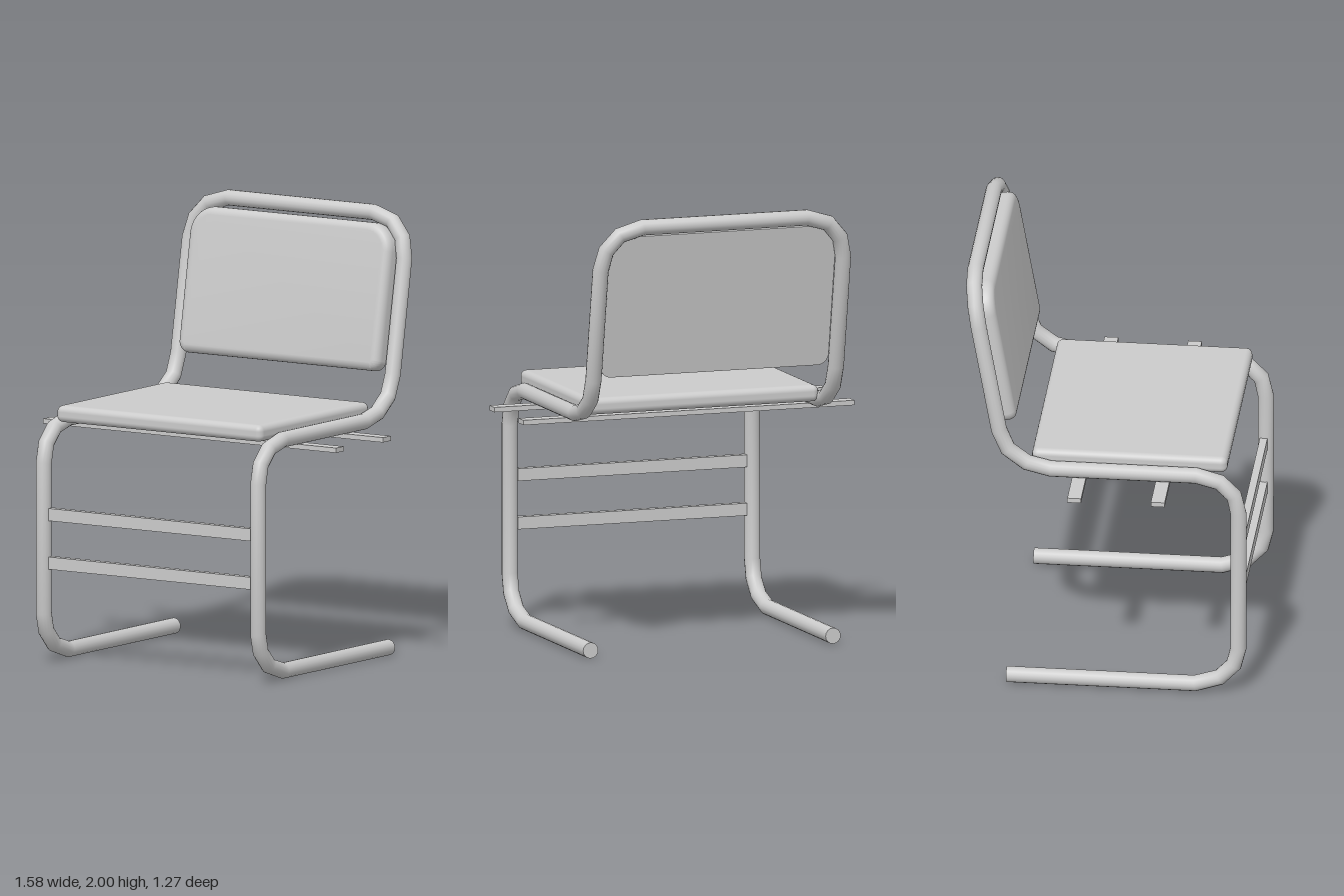
import * as THREE from 'three';
import { RoundedBoxGeometry } from 'three/addons/geometries/RoundedBoxGeometry.js';
import { toCreasedNormals } from 'three/addons/utils/BufferGeometryUtils.js';

const R = 0.036;      // tube radius
const HALF = 0.577;   // tube centre line in x
const TILT = 0.176;   // backrest lean

// Straight runs with mitred corners: one tube ring per point
class Polyline extends THREE.Curve {
  constructor(points) { super(); this.points = points; }
  getPointAt(u, target = new THREE.Vector3()) {
    return target.copy(this.points[Math.round(u * (this.points.length - 1))]);
  }
  getTangentAt(u, target = new THREE.Vector3()) {
    const p = this.points, i = Math.round(u * (p.length - 1));
    const a = p[Math.max(i - 1, 0)], b = p[i], c = p[Math.min(i + 1, p.length - 1)];
    const d1 = b.clone().sub(a).normalize(), d2 = c.clone().sub(b).normalize();
    return target.copy(d1.add(d2)).normalize();
  }
}

export function createModel() {
  const model = new THREE.Group();
  const material = new THREE.MeshStandardMaterial({ color: 0xcccccc });
  const add = (name, geometry, x, y, z) => {
    const mesh = new THREE.Mesh(geometry, material);
    mesh.name = name;
    mesh.position.set(x, y, z);
    model.add(mesh);
    return mesh;
  };

  // Tubular frame: floor runner, front leg, seat rail, back upright, top rail
  const leanZ = y => -0.475 - 0.179 * (y - 1.265);
  const side = [
    [-0.44, 0.037], [0.405, 0.037], [0.515, 0.073], [0.58, 0.142], [0.6, 0.225],
    [0.6, 0.9], [0.58, 0.988], [0.515, 1.052], [0.41, 1.08],
    [-0.243, 1.08], [-0.35, 1.106], [-0.435, 1.17], [-0.475, 1.265],
  ].map(([z, y]) => new THREE.Vector3(HALF, y, z));
  const corner = [[HALF, 1.775], [0.556, 1.865], [0.495, 1.934], [0.39, 1.965]]
    .map(([x, y]) => new THREE.Vector3(x, y, leanZ(y)));
  const half = [...side, ...corner];
  const mirrored = half.map(p => new THREE.Vector3(-p.x, p.y, p.z)).reverse();
  const path = new Polyline([...half, ...mirrored]);
  add('tubeFrame', new THREE.TubeGeometry(path, path.points.length - 1, R, 16, false), 0, 0, 0);
  for (const s of [-1, 1]) {
    add('tubeEndCap', new THREE.CircleGeometry(R, 16), s * HALF, 0.037, -0.44).rotation.y = Math.PI;
  }

  // Seat cushion
  add('seat', new RoundedBoxGeometry(1.106, 0.075, 0.876, 4, 0.028), 0, 1.118, 0.107);

  // Backrest pad: rounded front edge, flat sharp-edged back
  const b = 0.035, w = 0.541 - b, top = 0.325 - b, bottom = -0.335 + b;
  const outline = new THREE.Shape();
  const rTop = 0.09, rLow = 0.015;
  outline.moveTo(-w + rLow, bottom);
  outline.lineTo(w - rLow, bottom);
  outline.absarc(w - rLow, bottom + rLow, rLow, -Math.PI / 2, 0);
  outline.absarc(w - rTop, top - rTop, rTop, 0, Math.PI / 2);
  outline.absarc(-w + rTop, top - rTop, rTop, Math.PI / 2, Math.PI);
  outline.absarc(-w + rLow, bottom + rLow, rLow, Math.PI, Math.PI * 1.5);
  const pad = new THREE.ExtrudeGeometry(outline, {
    depth: 0.035, bevelSize: b, bevelThickness: b, bevelSegments: 5, curveSegments: 8,
  });
  const pos = pad.attributes.position;
  for (let i = 0; i < pos.count; i++) pos.setZ(i, Math.max(pos.getZ(i), 0));
  const back = add('backrest', toCreasedNormals(pad, 0.7), 0, 1.6, leanZ(1.6));
  back.rotation.x = -TILT;
  back.translateZ(0.008);

  // Flat bars under the seat, sticking out at both sides
  for (const z of [0.26, -0.115]) {
    add('underSeatBar', new THREE.BoxGeometry(1.576, 0.022, 0.062), 0, 1.034, z);
  }

  // Crossbars between the front legs
  for (const y of [0.672, 0.453]) {
    add('legCrossbar', new THREE.BoxGeometry(1.09, 0.056, 0.034), 0, y, 0.594);
  }
  return model;
}
